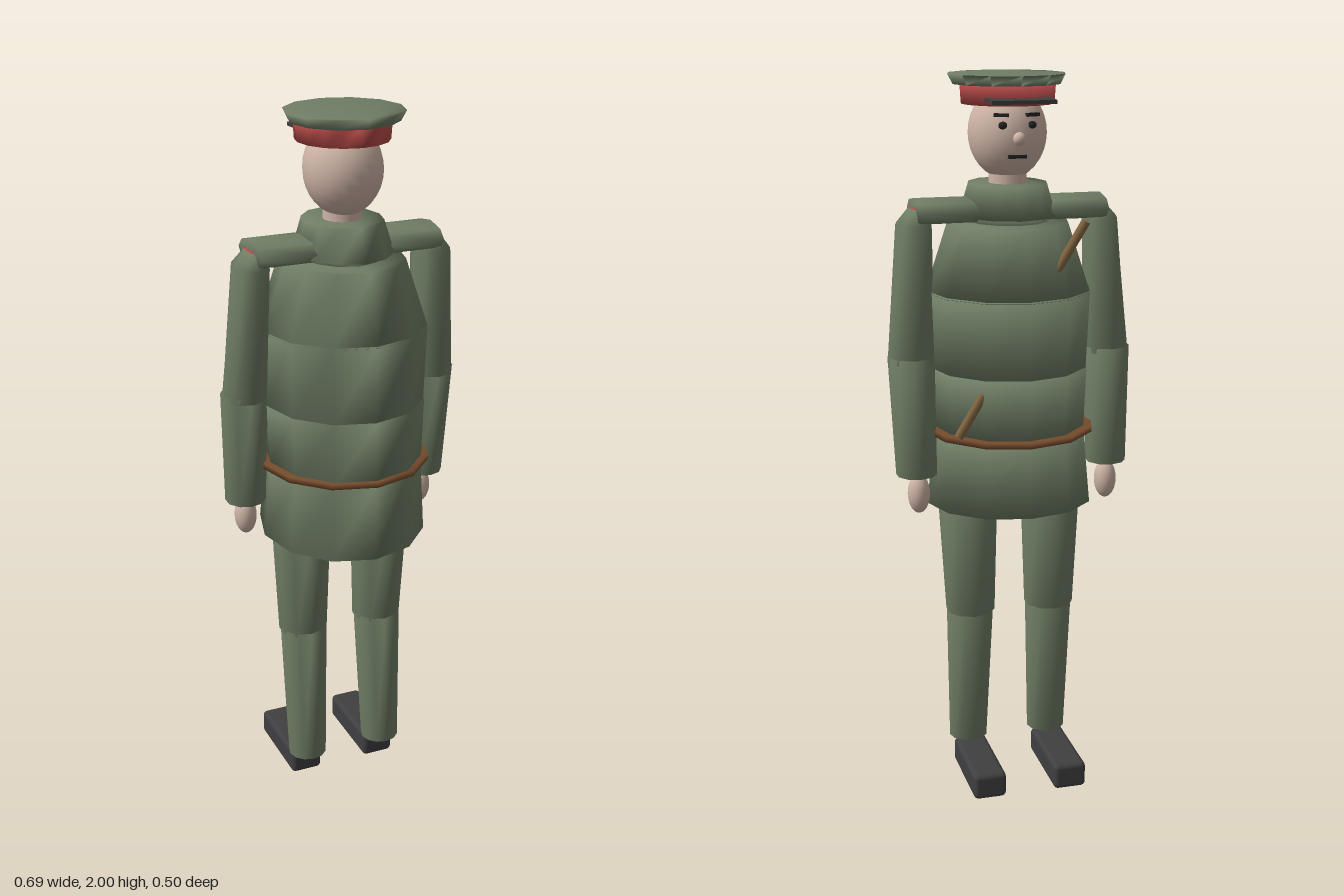
import * as THREE from 'three';
import { RoundedBoxGeometry } from 'three/addons/geometries/RoundedBoxGeometry.js';

const paint = (name, hex) => {
  const m = new THREE.MeshStandardMaterial({ color: hex });
  m.name = name;
  return m;
};

// Closed solid through elliptical rings [x, y, z, rx, rz, tilt]; corners are shared, so it shades softly
function loft(rings, n) {
  const pos = [], idx = [];
  for (const [x, y, z, rx, rz, tilt = 0] of rings) {
    for (let i = 0; i < n; i++) {
      const a = (i / n) * Math.PI * 2, dz = rz * Math.cos(a);
      pos.push(x + rx * Math.sin(a), y + tilt * dz, z + dz);
    }
  }
  for (let r = 0; r < rings.length - 1; r++) {
    for (let i = 0; i < n; i++) {
      const j = (i + 1) % n, b = r * n, t = b + n;
      idx.push(b + i, b + j, t + j, b + i, t + j, t + i);
    }
  }
  const top = (rings.length - 1) * n;
  for (let i = 1; i < n - 1; i++) idx.push(0, i + 1, i, top, top + i, top + i + 1);
  const g = new THREE.BufferGeometry();
  g.setAttribute('position', new THREE.Float32BufferAttribute(pos, 3));
  g.setIndex(idx);
  g.computeVertexNormals();
  return g;
}

export function createModel() {
  const model = new THREE.Group();
  const green = paint('uniform green', 0x6f7d65);
  const skin = paint('skin', 0xcdb3a5);
  const red = paint('red trim', 0xb54a47);
  const dark = paint('dark leather', 0x3f3f41);
  const brown = paint('belt brown', 0x754b2c);
  const tan = paint('strap tan', 0x80643f);
  const black = paint('face black', 0x222222);

  const add = (name, geo, mat, x = 0, y = 0, z = 0) => {
    const m = new THREE.Mesh(geo, mat);
    m.name = name;
    m.position.set(x, y, z);
    model.add(m);
    return m;
  };
  const ball = (name, mat, x, y, z, rx, ry, rz) =>
    add(name, new THREE.SphereGeometry(1, 24, 16), mat, x, y, z).scale.set(rx, ry, rz);

  // Coat, one solid per section
  add('coatSkirt', loft([[0, 0.818, -0.002, 0.235, 0.242, -0.05], [0, 1.035, 0.008, 0.217, 0.232]], 12), green);
  add('coatWaist', loft([[0, 1.035, 0.01, 0.217, 0.232], [0, 1.21, 0.008, 0.225, 0.233]], 12), green);
  add('coatChest', loft([[0, 1.205, 0.008, 0.222, 0.23], [0, 1.425, 0.006, 0.232, 0.236]], 12), green);
  add('coatShoulders', loft([[0, 1.42, 0.006, 0.232, 0.236], [0, 1.61, 0.005, 0.165, 0.196]], 12), green);
  add('collar', loft([[0, 1.625, 0.01, 0.135, 0.15], [0, 1.712, 0.007, 0.108, 0.126]], 12), green);
  add('collarBase', loft([[0, 1.6, 0.005, 0.11, 0.12], [0, 1.63, 0.005, 0.11, 0.12]], 12), green);

  // Belt and the diagonal chest strap
  add('belt', loft([[0, 1.028, 0.004, 0.241, 0.248], [0, 1.044, 0.004, 0.241, 0.248]], 12), brown);
  const from = new THREE.Vector3(0.185, 1.055, -0.173), to = new THREE.Vector3(-0.165, 1.625, -0.178);
  const dir = to.clone().sub(from);
  const strap = add('chestStrap', new THREE.CylinderGeometry(0.013, 0.013, dir.length(), 8), tan);
  strap.position.copy(from).add(to).multiplyScalar(0.5);
  strap.quaternion.setFromUnitVectors(new THREE.Vector3(0, 1, 0), dir.normalize());

  for (const s of [1, -1]) {
    const side = s > 0 ? 'left' : 'right';

    // Shoulder: a loft laid along x
    const ends = [s * 0.1, s * 0.262].sort((a, b) => a - b);
    const shoulder = loft(ends.map((x) => [-1.642, x, 0.004, 0.036, 0.086]), 8).rotateZ(-Math.PI / 2);
    add(side + 'Shoulder', shoulder, green);
    add(side + 'ShoulderTab', new RoundedBoxGeometry(0.012, 0.014, 0.064, 2, 0.004), red, s * 0.264, 1.645, 0.006);

    // Arm
    add(side + 'UpperArm', loft([[s * 0.279, 1.235, -0.017, 0.066, 0.066], [s * 0.262, 1.61, 0.006, 0.05, 0.072],
      [s * 0.252, 1.65, 0.006, 0.024, 0.045]], 8), green);
    add(side + 'Forearm', loft([[s * 0.275, 0.92, -0.043, 0.057, 0.058], [s * 0.28, 1.25, -0.018, 0.065, 0.065]], 10), green);
    ball(side + 'Hand', skin, s * 0.272, 0.867, -0.055, 0.031, 0.056, 0.034);

    // Leg
    add(side + 'Thigh', loft([[s * 0.117, 0.49, -0.014, 0.07, 0.068], [s * 0.122, 0.86, -0.007, 0.086, 0.08]], 10), green);
    add(side + 'Shin', loft([[s * 0.119, 0.08, 0.016, 0.056, 0.055], [s * 0.117, 0.5, -0.01, 0.069, 0.065]], 12), green);
    add(side + 'Boot', new RoundedBoxGeometry(0.094, 0.075, 0.26, 3, 0.014), dark, s * 0.118, 0.0375, -0.12);

    // Eye and brow
    ball(side + 'Eye', black, s * 0.04, 1.872, -0.094, 0.012, 0.01, 0.01);
    const brow = add(side + 'Brow', new THREE.BoxGeometry(0.04, 0.009, 0.016), black, s * 0.042, 1.898, -0.086);
    brow.rotation.y = s * -0.35;
  }

  // Head
  add('neck', new THREE.CylinderGeometry(0.05, 0.055, 0.14, 16), skin, 0, 1.71, 0.005);
  ball('head', skin, 0, 1.845, 0.01, 0.106, 0.125, 0.116);
  ball('nose', skin, 0, 1.838, -0.115, 0.017, 0.018, 0.017);
  add('mouth', new THREE.BoxGeometry(0.05, 0.009, 0.014), black, 0, 1.79, -0.092);

  // Peaked cap
  add('capBand', loft([[0, 1.922, 0.008, 0.126, 0.13], [0, 1.978, 0.008, 0.13, 0.132]], 16), red);
  add('capCrown', loft([[0, 1.973, 0.017, 0.148, 0.148], [0, 2, 0.018, 0.162, 0.163]], 12), green);
  const visor = add('capVisor', new THREE.BoxGeometry(0.174, 0.01, 0.08), dark, 0, 1.937, -0.125);
  visor.rotation.x = -0.04;

  return model;
}
